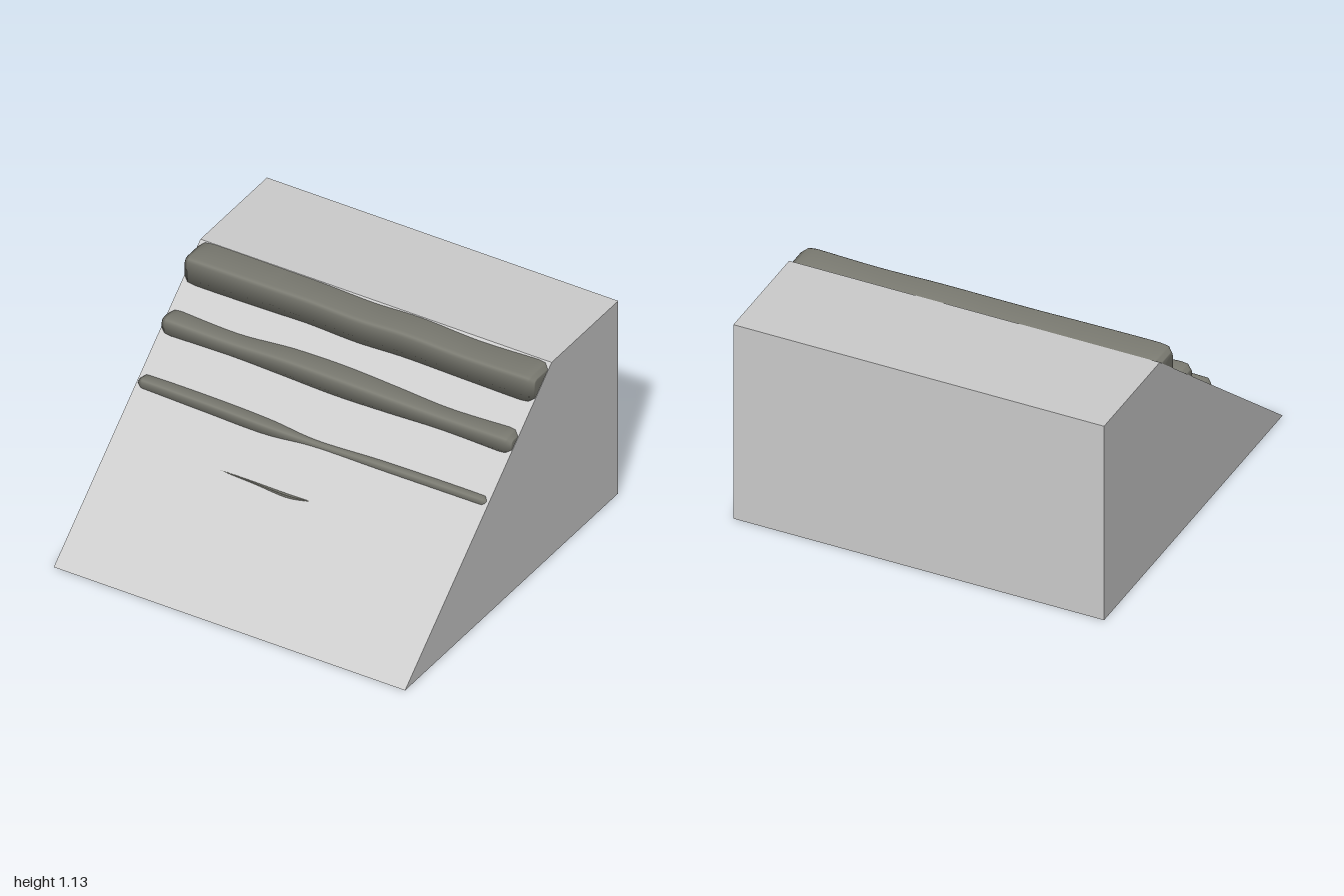
import * as THREE from 'three';

const H = 1.135, FRONT = 0.985, CREST = -0.37;
const slopeY = (z) => (FRONT - z) * H / (FRONT - CREST);
const slopeZ = (y) => FRONT - y * (FRONT - CREST) / H;

const stone = new THREE.MeshStandardMaterial({ color: 0xcccccc });
stone.name = 'lightGrey';
const ledgeGrey = new THREE.MeshStandardMaterial({ color: 0x7b7b72 });
ledgeGrey.name = 'warmGrey';

// Wavy ledge set into the slope; each station is [x, top height, front z]
function ledge(name, stations, r) {
  const curve = new THREE.CatmullRomCurve3(stations.map((s) => new THREE.Vector3(...s)));
  const rows = curve.getPoints(48);
  const pos = [], index = [], N = 6;

  rows.forEach((p, i) => {
    // round the ends off by pulling in the last stations
    const edge = Math.min(p.x - rows[0].x, rows[rows.length - 1].x - p.x);
    const pull = r * Math.max(0, 1 - edge / (r * 1.5));
    const y = p.y - pull, z = p.z - pull;
    const back = slopeZ(y) - 0.03;
    [[back, y - 0.04], [back, y], [z - r, y], [z - r * 0.3, y - r * 0.3],
      [z, y - r], [z, Math.min(slopeY(z) - 0.03, y - r * 1.5)]]
      .forEach(([pz, py]) => pos.push(p.x, py, pz));
    if (i === 0) return;
    for (let j = 0; j < N; j++) {
      const k = (j + 1) % N, a = (i - 1) * N, b = i * N;
      index.push(a + j, a + k, b + j, a + k, b + k, b + j);
    }
  });

  // end caps
  const last = (rows.length - 1) * N;
  for (let j = 1; j < N - 1; j++) {
    index.push(last, last + j, last + j + 1, 0, j + 1, j);
  }
  const geo = new THREE.BufferGeometry();
  geo.setAttribute('position', new THREE.Float32BufferAttribute(pos, 3));
  geo.setIndex(index);
  geo.computeVertexNormals();
  const mesh = new THREE.Mesh(geo, ledgeGrey);
  mesh.name = name;
  return mesh;
}

export function createModel() {
  const model = new THREE.Group();
  model.name = 'steppedRamp';

  // ramp block: side profile extruded across the width
  const profile = new THREE.Shape([
    new THREE.Vector2(-FRONT, 0), new THREE.Vector2(FRONT, 0),
    new THREE.Vector2(FRONT, H), new THREE.Vector2(-CREST, H),
  ]);
  const rampGeo = new THREE.ExtrudeGeometry(profile, { depth: 2, bevelEnabled: false });
  rampGeo.translate(0, 0, -1).rotateY(Math.PI / 2);
  const ramp = new THREE.Mesh(rampGeo, stone);
  ramp.name = 'rampBlock';
  model.add(ramp);

  // ledges from the crest down
  model.add(ledge('topLedge', [
    [-0.998, 1.131, -0.2], [-0.97, 1.133, -0.198], [-0.5, 1.133, -0.2], [-0.3, 1.132, -0.203],
    [0, 1.127, -0.197], [0.25, 1.132, -0.203], [0.6, 1.124, -0.2],
    [0.97, 1.131, -0.198], [0.998, 1.13, -0.2]], 0.022));
  model.add(ledge('middleLedge', [
    [-0.998, 0.9, 0.014], [-0.97, 0.9, 0.014], [-0.6, 0.892, 0.009], [-0.3, 0.906, 0.014],
    [0, 0.908, 0.02], [0.3, 0.9, 0.016], [0.6, 0.891, 0.009],
    [0.97, 0.899, 0.014], [0.998, 0.899, 0.014]], 0.022));
  model.add(ledge('lowerLedge', [
    [-0.99, 0.672, 0.236], [-0.96, 0.674, 0.236], [-0.6, 0.675, 0.242], [-0.25, 0.669, 0.246],
    [0, 0.656, 0.23], [0.4, 0.664, 0.229], [0.96, 0.666, 0.227], [0.99, 0.665, 0.227]], 0.015));
  model.add(ledge('ledgeSliver', [
    [-0.42, 0.466, 0.43], [-0.2, 0.466, 0.437], [0, 0.465, 0.445], [0.12, 0.466, 0.43]], 0.003));

  return model;
}
